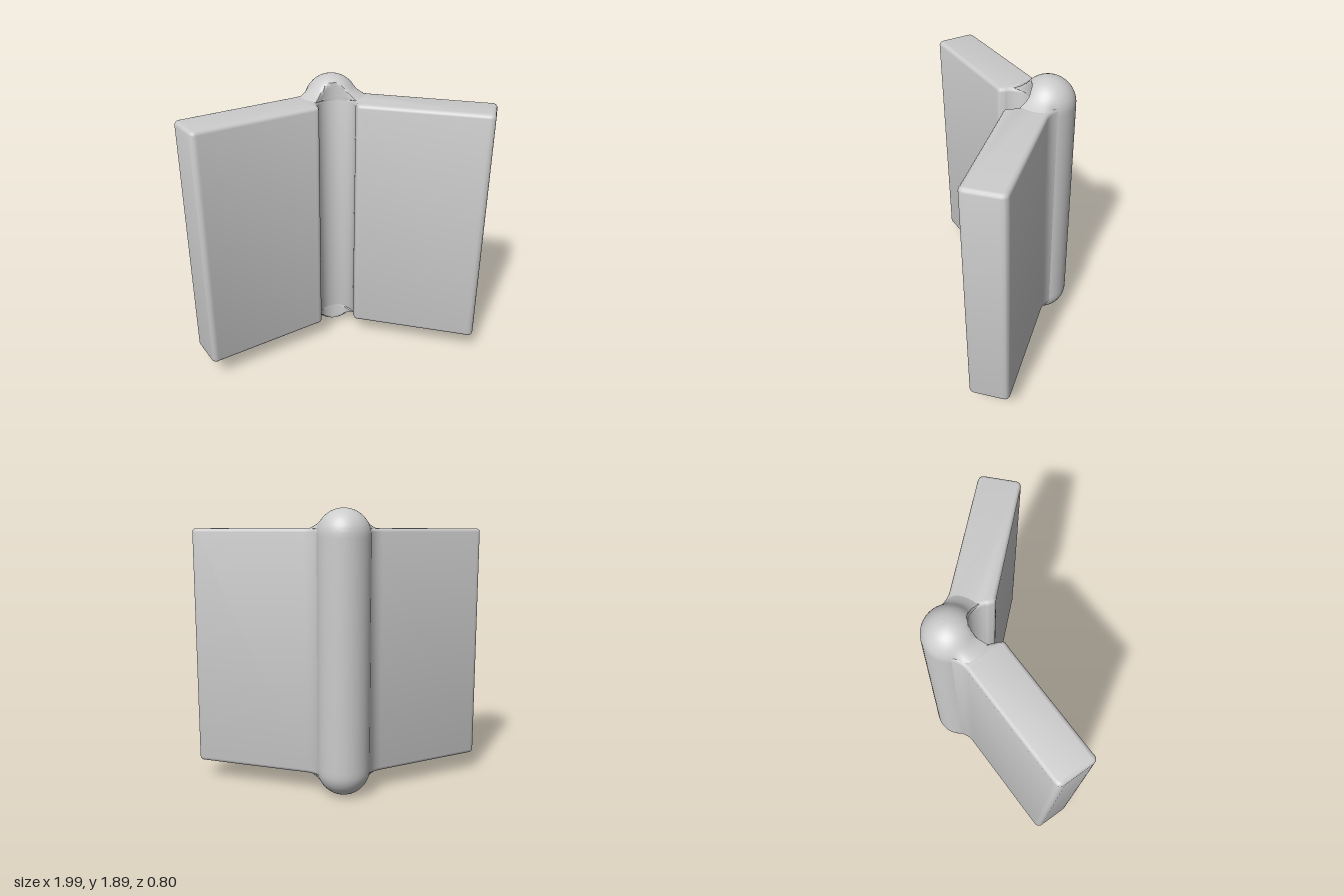
import * as THREE from 'three';
import { toCreasedNormals } from 'three/addons/utils/BufferGeometryUtils.js';

const HEIGHT = 1.89, SPINE_R = 0.177, SPINE_Z = -0.223;
const LEAF_TOP = 1.762, LEAF_BOTTOM = 0.13, BEVEL = 0.025;
const CHANNEL_R = 0.12;

// Plan outline of both leaves (x, z): one half drawn, the other mirrored
function leafOutline() {
  const half = new THREE.Path();
  half.moveTo(0, -0.3);
  half.lineTo(0.155, -0.3);
  half.quadraticCurveTo(0.18, -0.21, 0.26, -0.175); // fillet into the spine
  half.lineTo(0.965, 0.14);
  half.quadraticCurveTo(1.01, 0.16, 0.985, 0.205);
  half.lineTo(0.915, 0.37);
  half.quadraticCurveTo(0.895, 0.415, 0.85, 0.385);
  half.lineTo(0.16, 0.082);
  half.quadraticCurveTo(0.122, 0.072, 0.121, 0.055);
  half.lineTo(0.1175, 0.024);
  half.absarc(0, 0, CHANNEL_R, 0.2, -Math.PI / 2, true); // finger channel
  const right = half.getPoints(10);
  right[right.length - 1].x = 0;
  const left = right.slice(1, -1).reverse().map(p => new THREE.Vector2(-p.x, p.y));
  return new THREE.Shape([...right, ...left]);
}

function leavesGeometry() {
  const geo = new THREE.ExtrudeGeometry(leafOutline(), {
    depth: LEAF_TOP - LEAF_BOTTOM - 2 * BEVEL,
    bevelEnabled: true, bevelSize: BEVEL, bevelOffset: -BEVEL,
    bevelThickness: BEVEL, bevelSegments: 3,
  });
  geo.rotateX(Math.PI / 2);
  geo.translate(0, LEAF_TOP - BEVEL, 0);
  return toCreasedNormals(geo, 0.6);
}

// Round-ended spine, flared onto the leaf ends and hollowed by the channel
function spineGeometry() {
  const profile = [], top = [];
  const centre = HEIGHT - SPINE_R;
  const radiusAt = y => Math.sqrt(Math.max(0, SPINE_R ** 2 - Math.max(0, y - centre) ** 2));
  for (const y of [1.7, 1.73, 1.75, 1.758, 1.768, 1.778, 1.79, 1.805, 1.82, 1.84, 1.857, 1.87, 1.88, 1.887, HEIGHT])
    top.push(new THREE.Vector2(radiusAt(y), y));
  for (const p of [...top].reverse()) profile.push(new THREE.Vector2(p.x, HEIGHT - p.y));
  profile.push(...top);

  const geo = new THREE.LatheGeometry(profile, 64);
  const pos = geo.attributes.position;
  for (let i = 0; i < pos.count; i++) {
    let x = pos.getX(i), z = pos.getZ(i);
    const y = pos.getY(i), r = Math.hypot(x, z);
    const h = Math.max(y, HEIGHT - y);
    if (r > 1e-4 && h > 1.755 && h < 1.82) {
      const flare = 0.06 * ((1.82 - h) / 0.06) ** 2;
      const k = 1 + flare * THREE.MathUtils.smoothstep(z / r, -0.1, 0.35) / r;
      x *= k;
      z *= k;
    }
    z += SPINE_Z;
    const cut = CHANNEL_R + 0.001;
    if (Math.abs(x) < cut) z = Math.min(z, -Math.sqrt(cut * cut - x * x));
    pos.setXYZ(i, x, y, z);
  }
  return toCreasedNormals(geo, 0.7);
}

export function createModel() {
  const group = new THREE.Group();
  const material = new THREE.MeshStandardMaterial({ color: 0xcccccc });
  const add = (name, geometry) => {
    const mesh = new THREE.Mesh(geometry, material);
    mesh.name = name;
    group.add(mesh);
  };
  add('leaves', leavesGeometry());
  add('spine', spineGeometry());
  return group;
}
